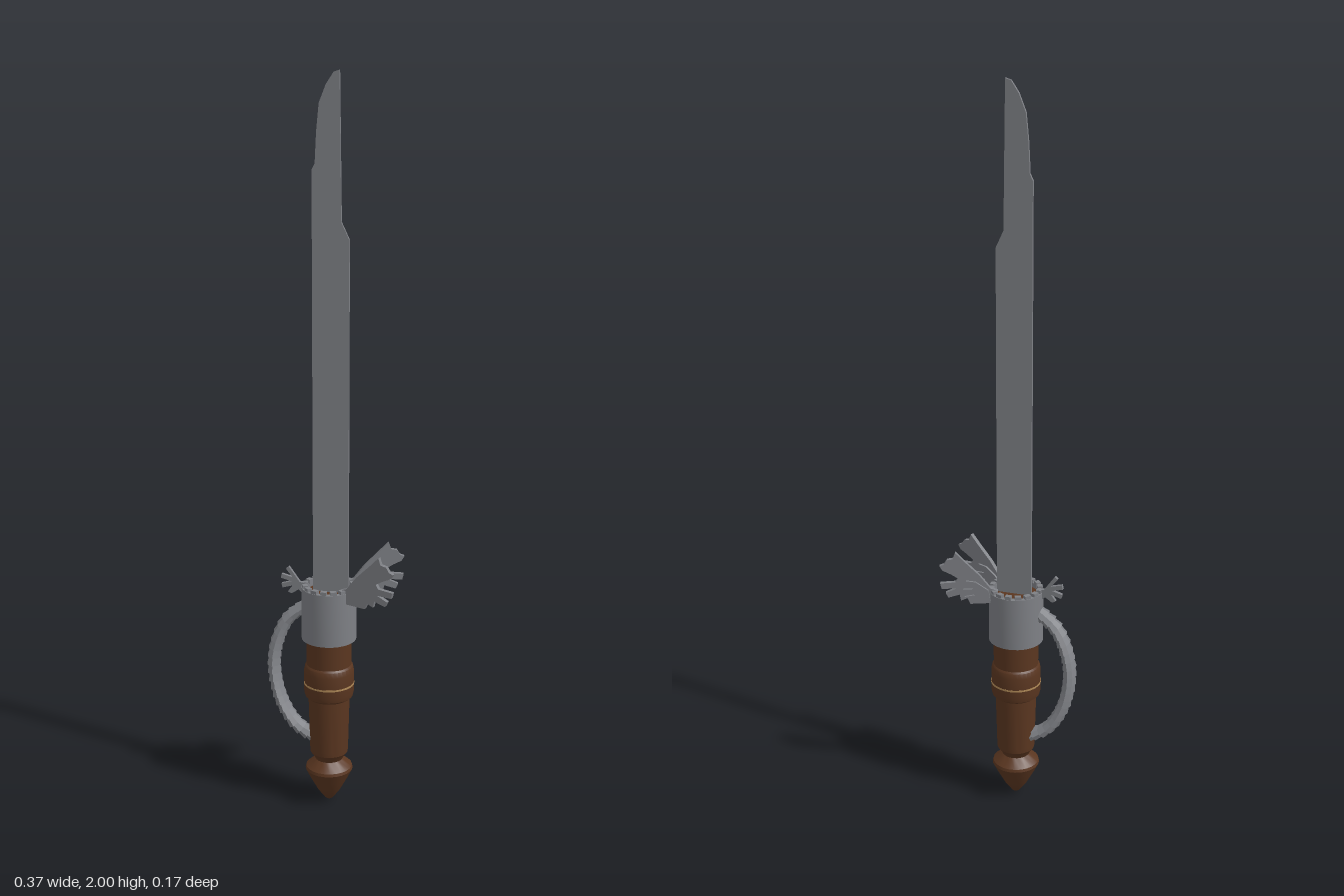
import * as THREE from 'three';
import { toCreasedNormals } from 'three/addons/utils/BufferGeometryUtils.js';

const AXIS_X = -0.012; // centre line of the grip

function material(name, color, side = THREE.FrontSide) {
  const m = new THREE.MeshStandardMaterial({ color, side });
  m.name = name;
  return m;
}

// Flat plate cut from an outline, centred on z = 0
function plate(points, depth) {
  const shape = new THREE.Shape(points.map(p => new THREE.Vector2(p[0], p[1])));
  const g = new THREE.ExtrudeGeometry(shape, { depth, bevelEnabled: false });
  return g.translate(0, 0, -depth / 2);
}

function turned(points, sides = 32) {
  const g = new THREE.LatheGeometry(points.map(p => new THREE.Vector2(p[0], p[1])), sides);
  return toCreasedNormals(g, 0.5).translate(AXIS_X, 0, 0);
}

export function createModel() {
  const root = new THREE.Group();
  root.name = 'sword';
  const steel = material('steel', 0x7e8085);
  const wood = material('wood', 0x5a3620);
  const inlay = material('inlay', 0xb08a58);

  const add = (name, geometry, mat, parent = root) => {
    const mesh = new THREE.Mesh(geometry, mat);
    mesh.name = name;
    parent.add(mesh);
    return mesh;
  };

  // Blade with a stepped, curved tip
  add('blade', plate([
    [-0.055, 0.6], [0.043, 0.6], [0.043, 1.58], [0.022, 1.625], [0.017, 2.0], [0.002, 1.995],
    [-0.018, 1.965], [-0.036, 1.92], [-0.043, 1.85], [-0.047, 1.77], [-0.055, 1.755],
  ], 0.008), steel).position.z = 0.003;

  // Wooden pommel and grip
  add('pommel', turned([
    [0, 0], [0.012, 0.008], [0.032, 0.035], [0.052, 0.072], [0.066, 0.1], [0.064, 0.108],
    [0.04, 0.128], [0.034, 0.134], [0, 0.134],
  ], 24), wood);
  add('grip', turned([
    [0, 0.126], [0.036, 0.126], [0.042, 0.138], [0.052, 0.152], [0.053, 0.165], [0.057, 0.315],
    [0.066, 0.322], [0.069, 0.335], [0.069, 0.395], [0.066, 0.41], [0.062, 0.415],
    [0.062, 0.625], [0, 0.625],
  ]), wood);
  add('gripInlay', turned([
    [0.068, 0.357], [0.0698, 0.357], [0.0698, 0.362], [0.068, 0.362],
  ]), inlay);

  // Steel collar with a toothed rim
  add('collar', turned([
    [0.06, 0.49], [0.075, 0.49], [0.075, 0.638], [0.061, 0.638], [0.061, 0.615],
  ], 32), steel);
  const rim = new THREE.Group();
  rim.name = 'collarRim';
  rim.position.set(AXIS_X, 0.64, 0);
  root.add(rim);
  for (let i = 0; i < 16; i++) {
    const a = (i / 16) * Math.PI * 2;
    const tooth = add('rimTooth', new THREE.BoxGeometry(0.014, 0.014, 0.017), steel, rim);
    tooth.position.set(Math.cos(a) * 0.066, 0, Math.sin(a) * 0.066);
    tooth.rotation.y = -a;
  }

  // Knuckle guard: overlapping flared segments along a curve
  const path = new THREE.CatmullRomCurve3([
    [-0.075, 0.582], [-0.128, 0.535], [-0.16, 0.46], [-0.167, 0.385],
    [-0.148, 0.295], [-0.105, 0.225], [-0.05, 0.19],
  ].map(p => new THREE.Vector3(p[0], p[1], 0)));
  const guard = new THREE.Group();
  guard.name = 'knuckleGuard';
  root.add(guard);
  const count = 20;
  const length = path.getLength() / count;
  for (let i = 0; i < count; i++) {
    const t = (i + 0.5) / count;
    const dir = path.getTangentAt(t);
    const g = toCreasedNormals(new THREE.CylinderGeometry(0.0145, 0.0195, length * 1.15, 8), 0.3);
    const link = add('guardLink', g, steel, guard);
    link.position.copy(path.getPointAt(t));
    link.rotation.z = Math.atan2(dir.x, -dir.y);
    link.scale.z = 1.5;
  }

  // Pair of feathered wings, spreading away from the blade
  const wingOutline = [
    [0.0, 0.61], [0.075, 0.605], [0.083, 0.622], [0.1, 0.614], [0.104, 0.632], [0.135, 0.622],
    [0.142, 0.636], [0.112, 0.65], [0.153, 0.648], [0.157, 0.664], [0.115, 0.668],
    [0.108, 0.68], [0.128, 0.692], [0.15, 0.702], [0.158, 0.715], [0.146, 0.72], [0.138, 0.733],
    [0.122, 0.736], [0.115, 0.755], [0.088, 0.727], [0.05, 0.69], [0.02, 0.652], [0.0, 0.645],
  ];
  const covertOutline = [
    [0.02, 0.615], [0.055, 0.612], [0.09, 0.628], [0.062, 0.634], [0.094, 0.65],
    [0.066, 0.652], [0.086, 0.675], [0.06, 0.672], [0.025, 0.648],
  ];
  for (const s of [-1, 1]) {
    const wing = new THREE.Group();
    wing.name = s > 0 ? 'frontWing' : 'backWing';
    wing.position.set(0.028, 0, s * 0.036);
    wing.rotation.y = -s * 0.27;
    root.add(wing);
    add('wingFeathers', plate(wingOutline, 0.012), steel, wing);
    add('covertFeathers', plate(covertOutline, 0.008), steel, wing).position.z = -0.008;
  }

  // Small wing above the knuckle guard
  add('smallWing', plate([
    [-0.07, 0.605], [-0.07, 0.645], [-0.092, 0.648], [-0.122, 0.69], [-0.13, 0.683],
    [-0.112, 0.66], [-0.142, 0.668], [-0.145, 0.656], [-0.115, 0.648], [-0.143, 0.64],
    [-0.14, 0.628], [-0.112, 0.636], [-0.125, 0.618], [-0.115, 0.613], [-0.095, 0.626],
  ], 0.01), steel).position.z = 0.004;

  return root;
}
